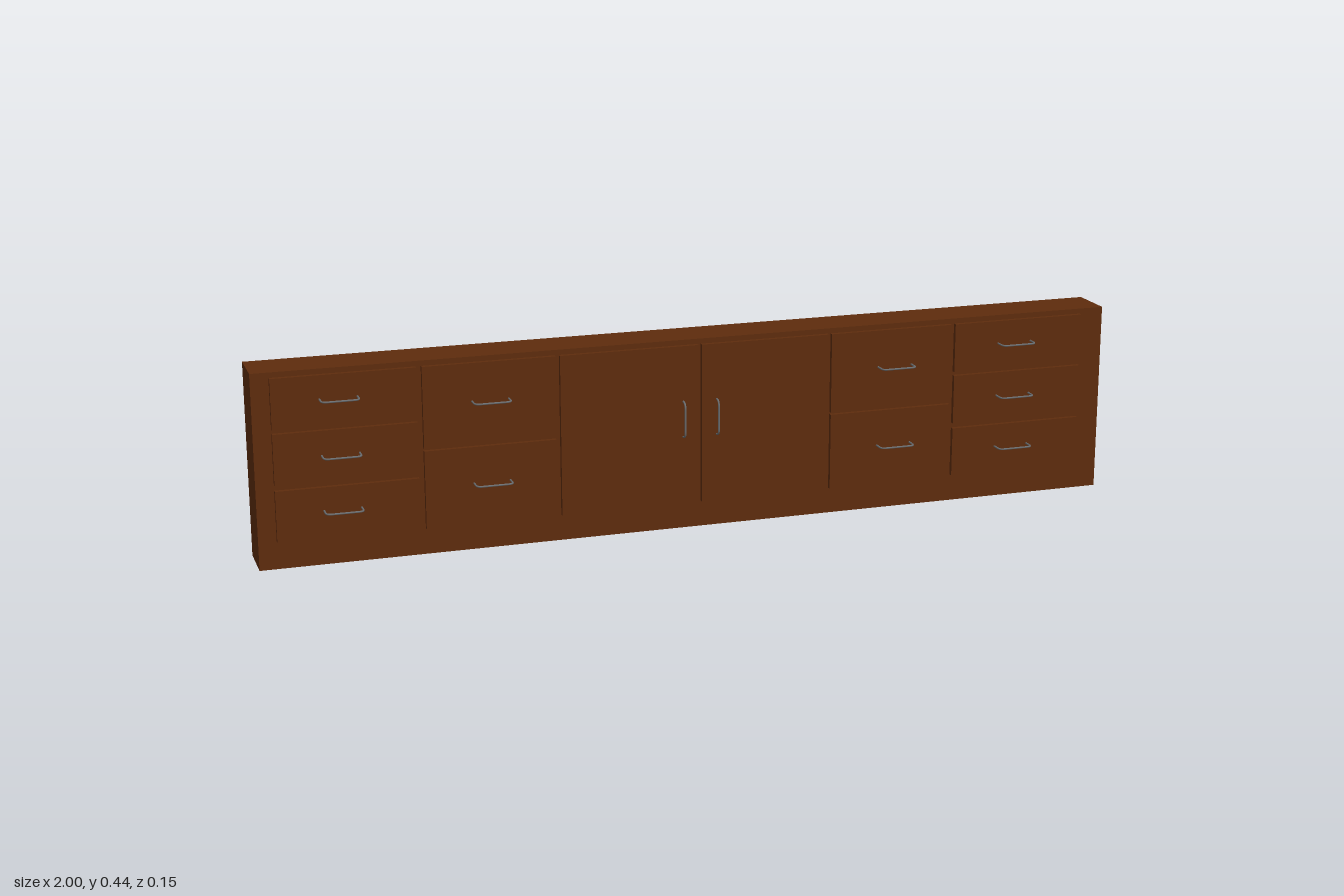
import * as THREE from 'three';

const FACE_Z = 0.044; // front of the doors and drawers

export function createModel() {
  const wood = new THREE.MeshStandardMaterial({ color: 0x5e2c0d });
  wood.name = 'brown wood';
  const metal = new THREE.MeshStandardMaterial({ color: 0x6a6c6e });
  metal.name = 'grey metal';
  const model = new THREE.Group();
  model.name = 'sideboard';

  // Box given by its limits
  function box(name, x0, x1, y0, y1, z0, z1) {
    const mesh = new THREE.Mesh(new THREE.BoxGeometry(x1 - x0, y1 - y0, z1 - z0), wood);
    mesh.position.set((x0 + x1) / 2, (y0 + y1) / 2, (z0 + z1) / 2);
    mesh.name = name;
    model.add(mesh);
  }

  // U-shaped bar pull with rounded corners, lying along x
  function pullGeometry(length, depth, corner) {
    const h = length / 2, back = -0.004;
    const v = (x, z) => new THREE.Vector3(x, 0, z);
    const path = new THREE.CurvePath();
    path.add(new THREE.LineCurve3(v(-h, back), v(-h, depth - corner)));
    path.add(new THREE.QuadraticBezierCurve3(v(-h, depth - corner), v(-h, depth), v(-h + corner, depth)));
    path.add(new THREE.LineCurve3(v(-h + corner, depth), v(h - corner, depth)));
    path.add(new THREE.QuadraticBezierCurve3(v(h - corner, depth), v(h, depth), v(h, depth - corner)));
    path.add(new THREE.LineCurve3(v(h, depth - corner), v(h, back)));
    return new THREE.TubeGeometry(path, 64, 0.0022, 10, false);
  }
  const drawerPull = pullGeometry(0.082, 0.03, 0.012);
  const doorPull = pullGeometry(0.082, 0.016, 0.016);

  function pull(name, geometry, x, y, turn = 0) {
    const mesh = new THREE.Mesh(geometry, metal);
    mesh.position.set(x, y, FACE_Z);
    mesh.rotation.z = turn;
    mesh.name = name;
    model.add(mesh);
  }

  // Carcass
  box('cabinetBody', -1, 1, 0, 0.44, -0.075, 0.034);

  // Drawer columns: x limits, pull centre, rows of [bottom, top, pull height]
  const threeRows = [[0.314, 0.428, 0.375], [0.19, 0.305, 0.249], [0.063, 0.178, 0.125]];
  const twoRows = [[0.243, 0.428, 0.342], [0.06, 0.238, 0.155]];
  const columns = [
    [-0.96, -0.645, -0.815, threeRows],
    [-0.633, -0.335, -0.483, twoRows],
    [0.314, 0.61, 0.47, twoRows],
    [0.62, 0.942, 0.77, threeRows],
  ];
  for (const [x0, x1, px, rows] of columns) {
    for (const [y0, y1, py] of rows) {
      box('drawerFront', x0, x1, y0, y1, 0.03, FACE_Z);
      pull('drawerHandle', drawerPull, px, py);
    }
  }

  // Pair of doors with upright pulls
  for (const [x0, x1, px] of [[-0.325, -0.005, -0.041], [0.003, 0.307, 0.038]]) {
    box('door', x0, x1, 0.06, 0.428, 0.03, FACE_Z);
    pull('doorHandle', doorPull, px, 0.259, Math.PI / 2);
  }
  return model;
}
